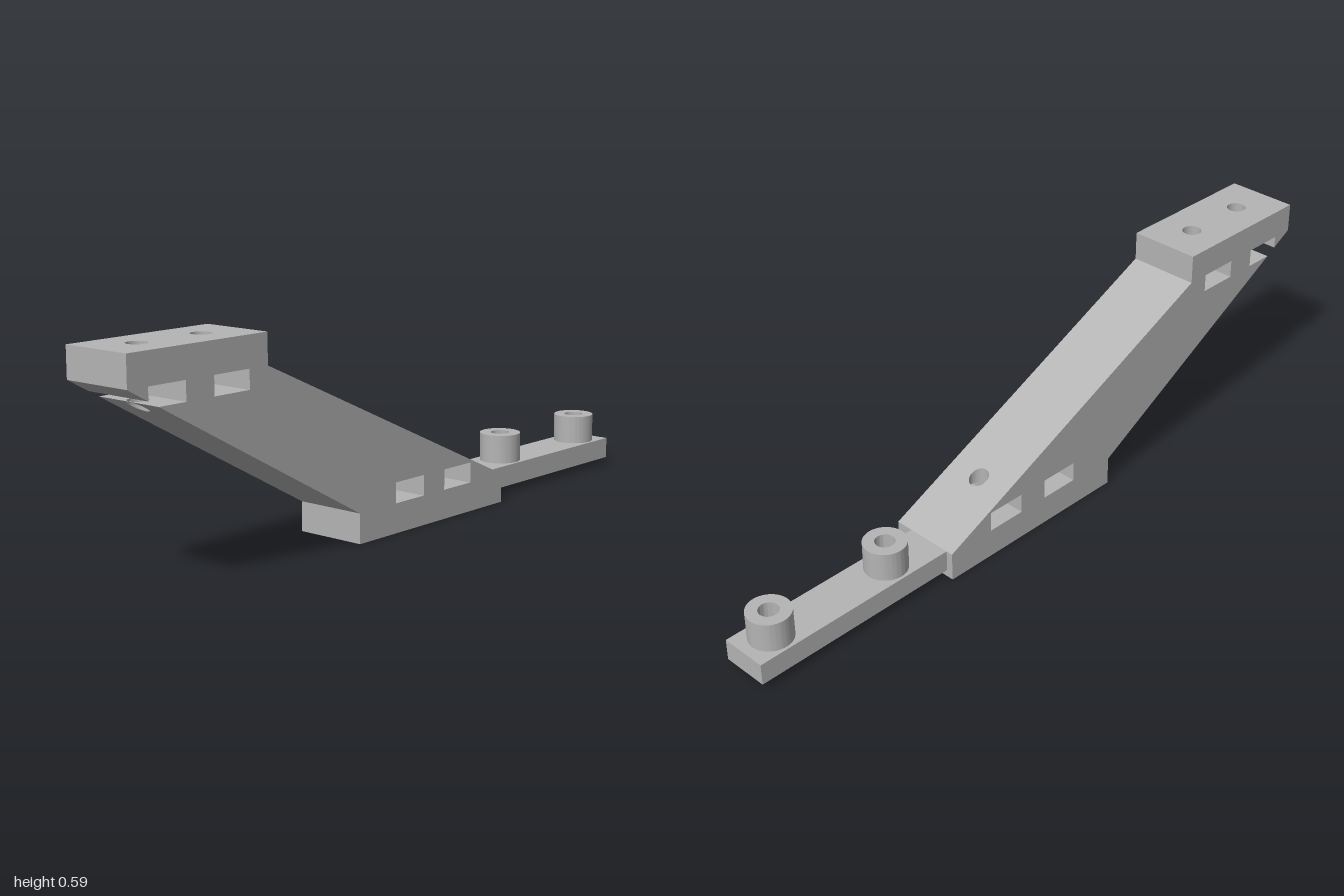
import * as THREE from 'three';
import { mergeGeometries, toCreasedNormals } from 'three/addons/utils/BufferGeometryUtils.js';

const HALF = 0.103; // half thickness of the bracket
const R = 0.027; // bolt hole radius

// Bracket contour, counter-clockwise; the first nut slot opens through the lower slope
const outline = [
  [-1, 0.593], [-1, 0.511], [-0.938, 0.4767], [-0.938, 0.511], [-0.823, 0.511], [-0.823, 0.46],
  [-0.9077, 0.46], [-0.224, 0.082], [-0.224, 0], [0.384, 0], [0.384, 0.082], [-0.556, 0.511], [-0.556, 0.593],
];
// Closed nut slots, clockwise
const slot = (x, y0, y1) => [[x - 0.058, y0], [x - 0.058, y1], [x + 0.058, y1], [x + 0.058, y0]];
const slots = [slot(-0.676, 0.46, 0.511), slot(-0.022, 0.082, 0.139), slot(0.182, 0.082, 0.139)];

// Vertical bolt holes: x, lowest and highest y, and the blind end where there is one
const bolts = [
  { x: -0.878, y0: 0.4, y1: 0.7 },
  { x: -0.676, y0: 0.4, y1: 0.7, blind: 0.4 },
  { x: -0.022, y0: -0.1, y1: 0.2, blind: 0.2 },
  { x: 0.182, y0: -0.1, y1: 0.3 },
];

const yOn = (a, b, x) => a[1] + ((b[1] - a[1]) * (x - a[0])) / (b[0] - a[0]);

function hits(a, b, bolt) {
  if ((a[0] - bolt.x) * (b[0] - bolt.x) >= 0) return false;
  const y = yOn(a, b, bolt.x);
  return y > bolt.y0 && y < bolt.y1;
}

function ellipseHole(x, y, rx, ry) {
  const path = new THREE.Path();
  path.absellipse(x, y, rx, ry, 0, Math.PI * 2, true);
  return path;
}

// Wall across the thickness along one contour edge, pierced by the bolts that cross it
function wall(a, b) {
  const length = Math.hypot(b[0] - a[0], b[1] - a[1]);
  const d = new THREE.Vector3((b[0] - a[0]) / length, (b[1] - a[1]) / length, 0);
  const shape = new THREE.Shape([[0, -HALF], [length, -HALF], [length, HALF], [0, HALF]]
    .map((p) => new THREE.Vector2(...p)));
  for (const bolt of bolts) {
    if (hits(a, b, bolt)) shape.holes.push(ellipseHole((bolt.x - a[0]) / d.x, 0, R / Math.abs(d.x), R));
  }
  const matrix = new THREE.Matrix4().makeBasis(d, new THREE.Vector3(0, 0, 1), new THREE.Vector3(d.y, -d.x, 0));
  matrix.setPosition(a[0], a[1], 0);
  return new THREE.ShapeGeometry(shape, 16).applyMatrix4(matrix);
}

// Flat side of the bracket, with the slots cut out
function side(sign) {
  const points = (loop) => loop.map(([x, y]) => new THREE.Vector2(x * sign, y));
  const shape = new THREE.Shape(points(outline));
  shape.holes = slots.map((s) => new THREE.Path(points(s)));
  const geometry = new THREE.ShapeGeometry(shape).translate(0, 0, HALF);
  return sign < 0 ? geometry.rotateY(Math.PI) : geometry;
}

// Inward-facing bore between two height functions of x
function bore(x, low, high) {
  const geometry = new THREE.CylinderGeometry(R, R, 1, 32, 1, true).scale(-1, 1, 1).translate(x, 0, 0);
  const p = geometry.attributes.position;
  for (let i = 0; i < p.count; i++) p.setY(i, (p.getY(i) > 0 ? high : low)(p.getX(i)));
  geometry.computeVertexNormals();
  return geometry;
}

function bracketGeometry() {
  const parts = [side(1), side(-1)];
  const edges = [outline, ...slots].flatMap((loop) => loop.map((a, i) => [a, loop[(i + 1) % loop.length]]));
  for (const [a, b] of edges) parts.push(wall(a, b));
  for (const bolt of bolts) {
    const levels = edges.filter(([a, b]) => hits(a, b, bolt)).map(([a, b]) => (x) => yOn(a, b, x));
    if (bolt.blind !== undefined) {
      levels.push(() => bolt.blind);
      const up = bolt.blind > 0.3 ? -1 : 1;
      parts.push(new THREE.CircleGeometry(R, 32).rotateX((up * Math.PI) / 2).translate(bolt.x, bolt.blind, 0));
    }
    levels.sort((f, g) => f(bolt.x) - g(bolt.x));
    for (let i = 0; i + 1 < levels.length; i += 2) parts.push(bore(bolt.x, levels[i], levels[i + 1]));
  }
  return mergeGeometries(parts);
}

// Extrudes a plan (x, -z) upwards from y0 to y1
function plate(shape, y0, y1) {
  const geometry = new THREE.ExtrudeGeometry(shape, { depth: y1 - y0, bevelEnabled: false, curveSegments: 32 });
  return toCreasedNormals(geometry.rotateX(-Math.PI / 2).translate(0, y0, 0), 0.6);
}

export function createModel() {
  const group = new THREE.Group();
  const gray = new THREE.MeshStandardMaterial({ color: 0xb4b4b4 });
  gray.name = 'gray';
  const add = (name, geometry) => {
    const mesh = new THREE.Mesh(geometry, gray);
    mesh.name = name;
    group.add(mesh);
  };

  add('slantedBracket', bracketGeometry());

  // Flat arm with two hollow posts
  const postX = [0.535, 0.913];
  const armZ = -0.016;
  const arm = new THREE.Shape([[0.384, -0.051], [1, -0.051], [1, 0.083], [0.384, 0.083]]
    .map((p) => new THREE.Vector2(...p)));
  arm.holes = postX.map((x) => ellipseHole(x, -armZ, R, R));
  add('arm', plate(arm, 0.021, 0.082));
  postX.forEach((x, i) => {
    const ring = new THREE.Shape().absarc(x, -armZ, 0.059, 0, Math.PI * 2, false);
    ring.holes.push(ellipseHole(x, -armZ, R, R));
    add(i ? 'outerPost' : 'innerPost', plate(ring, 0.082, 0.164));
  });
  return group;
}
